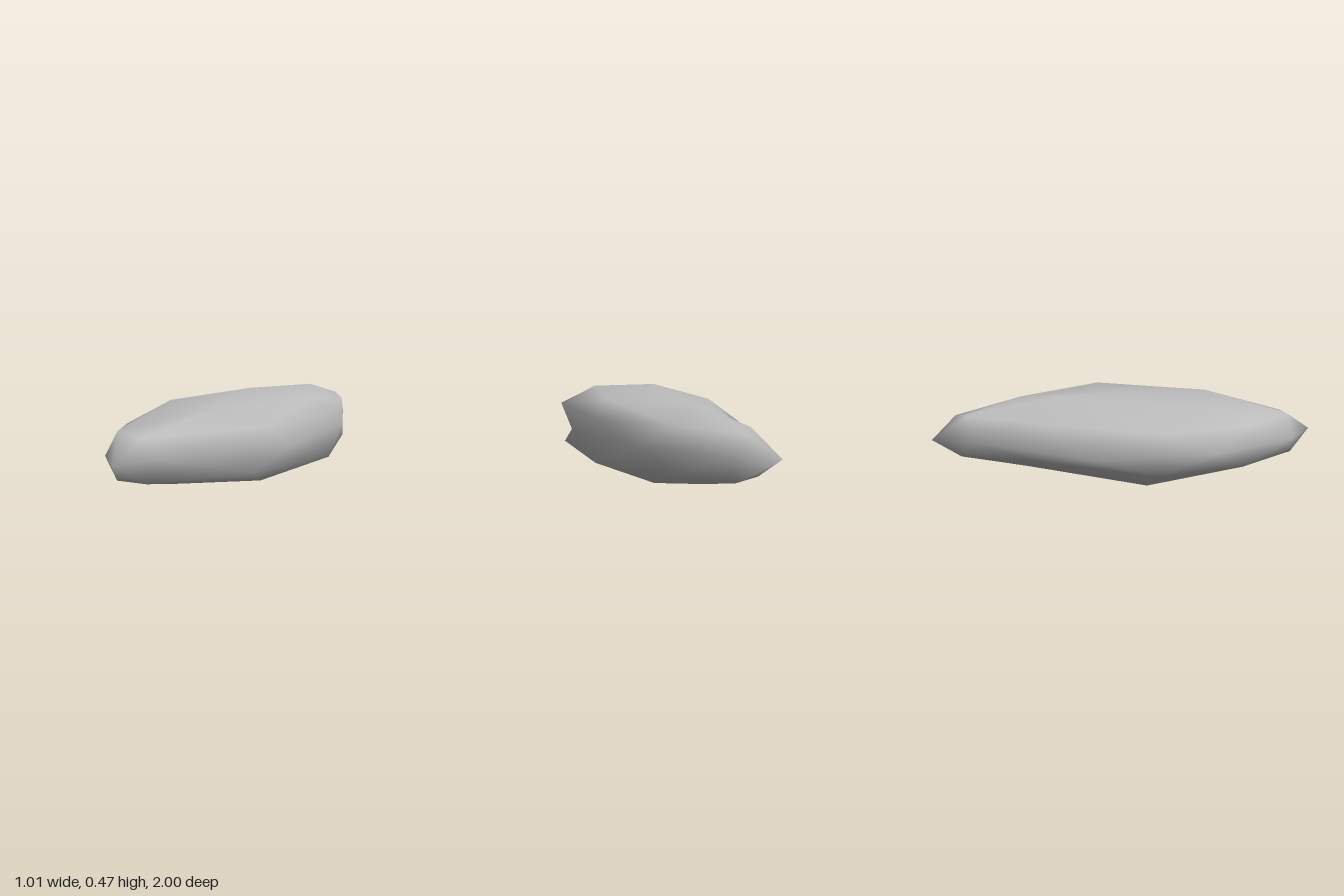
import * as THREE from 'three';
import { mergeVertices } from 'three/addons/utils/BufferGeometryUtils.js';

// Sideways drift of the body's spine, from the middle to either tip
const DRIFT = [[0, 0], [0.31, 0.07], [0.51, 0.14], [0.81, 0.3], [1, 0.3]];

function drift(z) {
  const a = Math.abs(z);
  for (let i = 1; i < DRIFT.length; i++) {
    const [z0, d0] = DRIFT[i - 1], [z1, d1] = DRIFT[i];
    if (a <= z1 || i === DRIFT.length - 1) {
      return -Math.sign(z) * THREE.MathUtils.lerp(d0, d1, Math.min(1, (a - z0) / (z1 - z0)));
    }
  }
}

// Sideways position of a point of the unit ball
function sideways(x, y, z) {
  const away = Math.abs(y), inner = (1 - z * z) ** 2;
  const width = (0.807 - 0.34 * x * x - 0.36 * z * z - 0.55 * z ** 4) * (1 + 0.6 * x * z * away);
  const lean = 0.05 * (1 - x * x - z * z);
  // hollow above and below the rim at the back right
  const hollow = x < 0 && z < 0 ? 2.5 * (x * z) ** 0.75 * away * inner : 0;
  // underside cut back at the front left
  const scoop = x > 0 && z > 0 && y < 0 ? 1.3 * x * z * y ** 4 : 0;
  // right side leans in a little away from the rim
  const tuck = 0.08 * Math.max(0, -x) * away * inner;
  return width * x + drift(z) + lean + hollow - scoop + tuck;
}

export function createModel() {
  const stone = new THREE.MeshStandardMaterial({ color: 0xbcbcbc });
  stone.name = 'stone grey';

  // Low-poly ball with one corner straight up and an upper corner towards +x
  let geometry = new THREE.IcosahedronGeometry(1, 1);
  geometry.deleteAttribute('normal');
  geometry.deleteAttribute('uv');
  geometry.rotateX(-Math.atan2((1 + Math.sqrt(5)) / 2, 1));
  geometry.rotateY(Math.PI / 2);
  geometry = mergeVertices(geometry, 1e-3);

  // Flatten it, narrow it towards the tips and sweep the tips to opposite sides
  const p = geometry.attributes.position;
  for (let i = 0; i < p.count; i++) {
    // rounding keeps points on the centre planes exactly there
    const [x, y, z] = [p.getX(i), p.getY(i), p.getZ(i)].map((v) => Math.round(v * 1e4) / 1e4);
    p.setXYZ(i, sideways(x, y, z), 0.233 * (1 + y), z);
  }
  geometry.computeVertexNormals();

  const body = new THREE.Mesh(geometry, stone);
  body.name = 'body';
  const group = new THREE.Group();
  group.name = 'smoothStone';
  group.add(body);
  return group;
}
